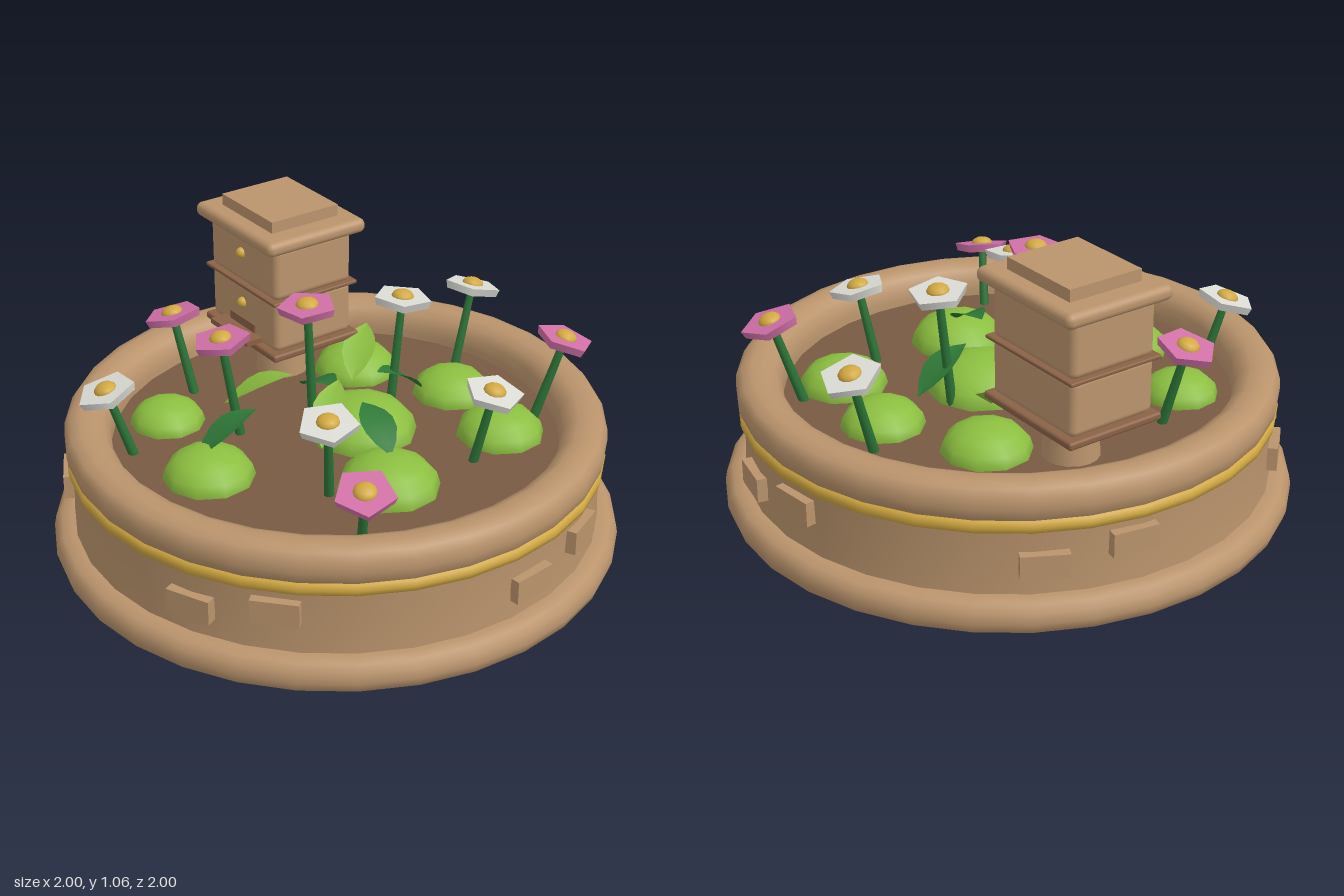
import * as THREE from 'three';
import { RoundedBoxGeometry } from 'three/addons/geometries/RoundedBoxGeometry.js';

const mat = (name, color, side = THREE.FrontSide) => {
  const m = new THREE.MeshStandardMaterial({ color, side });
  m.name = name;
  return m;
};

export function createModel() {
  const model = new THREE.Group();
  model.name = 'flowerPlanter';
  const tan = mat('tanClay', 0xba946c);
  const trim = mat('brownTrim', 0x8a6246);
  const soilBrown = mat('soilBrown', 0x785a42);
  const gold = mat('gold', 0xd2a941);
  const pink = mat('pinkPetal', 0xd070a6);
  const white = mat('whitePetal', 0xdcdcd6);
  const lime = mat('limeGreen', 0x8cbf40, THREE.DoubleSide);
  const leafGreen = mat('leafGreen', 0x2f7a38, THREE.DoubleSide);
  const stemGreen = mat('stemGreen', 0x2b7236);

  const add = (parent, name, geometry, material, x = 0, y = 0, z = 0) => {
    const mesh = new THREE.Mesh(geometry, material);
    mesh.name = name;
    mesh.position.set(x, y, z);
    parent.add(mesh);
    return mesh;
  };
  const lathe = (pts, sides) =>
    new THREE.LatheGeometry(pts.map(([r, y]) => new THREE.Vector2(r, y)), sides);

  // Bowl: rounded foot, straight wall, thick rounded rim
  const SOIL = 0.39;
  add(model, 'foot', lathe([[0, 0], [0.93, 0], [0.965, 0.004], [0.99, 0.022], [1, 0.055],
    [0.993, 0.09], [0.972, 0.112], [0.94, 0.12], [0.9, 0.12]], 32), tan);
  add(model, 'wall', lathe([[0.925, 0.11], [0.92, 0.22], [0.925, 0.345]], 32), tan);
  add(model, 'goldBand', lathe([[0.92, 0.338], [0.934, 0.345], [0.938, 0.363], [0.934, 0.382], [0.92, 0.39]], 32), gold);
  add(model, 'rim', lathe([[0.92, 0.375], [0.936, 0.4], [0.941, 0.43], [0.938, 0.465], [0.92, 0.492],
    [0.885, 0.505], [0.84, 0.502], [0.805, 0.485], [0.784, 0.45], [0.78, 0.41], [0.78, 0.37]], 32), tan);
  add(model, 'soil', new THREE.CircleGeometry(0.79, 32).rotateX(-Math.PI / 2), soilBrown, 0, SOIL, 0);

  // Raised bricks in pairs around the wall
  for (let i = 0; i < 20; i++) {
    if (i % 4 > 1) continue;
    const a = (i * Math.PI) / 10;
    const brick = add(model, 'wallBrick', new THREE.BoxGeometry(0.16, 0.085, 0.05), tan,
      Math.sin(a) * 0.925, i % 4 ? 0.275 : 0.23, Math.cos(a) * 0.925);
    brick.rotation.y = a;
  }

  // Bushes: x, z, radius
  [[-0.17, -0.45, 0.155], [0.22, -0.465, 0.145], [0.5, -0.28, 0.155], [0.07, -0.06, 0.195],
    [0.33, 0.225, 0.175], [-0.225, 0.465, 0.158], [-0.555, 0.225, 0.133]].forEach(([x, z, r]) => {
    add(model, 'bush', new THREE.SphereGeometry(r, 10, 8), lime, x, SOIL, z).scale.y = 0.65;
  });

  // Folded leaf running from a low end to a raised tip
  const leafGeometry = (from, to) => {
    const a = new THREE.Vector3(...from), b = new THREE.Vector3(...to);
    const side = b.clone().sub(a).cross(new THREE.Vector3(0, 1, 0)).normalize();
    const steps = 6, pos = [], index = [];
    for (let i = 0; i <= steps; i++) {
      const t = i / steps;
      const w = 0.06 * Math.sin(Math.PI * Math.pow(t, 0.85));
      const p = a.clone().lerp(b, t);
      p.y += 0.02 * Math.sin(Math.PI * t);
      for (const s of [-1, 0, 1]) {
        pos.push(p.x + side.x * w * s, p.y + Math.abs(s) * w * 0.25, p.z + side.z * w * s);
      }
      if (i === steps) continue;
      for (let k = i * 3; k < i * 3 + 2; k++) index.push(k, k + 1, k + 3, k + 1, k + 4, k + 3);
    }
    const g = new THREE.BufferGeometry();
    g.setAttribute('position', new THREE.Float32BufferAttribute(pos, 3));
    g.setIndex(index);
    g.computeVertexNormals();
    return g;
  };
  [[[-0.27, 0.45, 0.465], [-0.14, 0.585, 0.29], leafGreen],
    [[0.325, 0.49, 0.2], [0.14, 0.58, 0.065], leafGreen],
    [[0.16, 0.45, -0.34], [0.085, 0.585, -0.14], leafGreen],
    [[-0.2, 0.47, -0.12], [0, 0.57, 0], leafGreen],
    [[-0.37, 0.47, 0.14], [-0.16, 0.585, 0.02], lime],
    [[0.065, 0.45, 0.21], [0, 0.59, -0.02], lime],
    [[-0.08, 0.45, -0.26], [-0.13, 0.585, -0.46], lime],
  ].forEach(([from, to, m]) => add(model, 'leaf', leafGeometry(from, to), m));

  // Flowers lean outward more the farther they stand from the middle
  const flower = (x, y, z, turn, petal) => {
    const drop = y - 0.36;
    const base = new THREE.Vector3(x * (1 - 0.4 * drop), 0.36, z * (1 - 0.4 * drop));
    const dir = new THREE.Vector3(x, y, z).sub(base);
    const len = dir.length();
    const g = new THREE.Group();
    g.name = 'flower';
    g.position.copy(base);
    g.quaternion.setFromUnitVectors(new THREE.Vector3(0, 1, 0), dir.normalize());
    add(g, 'stem', new THREE.CylinderGeometry(0.014, 0.018, len, 8), stemGreen, 0, len / 2, 0);
    const start = Math.PI - THREE.MathUtils.degToRad(turn);
    add(g, 'petals', new THREE.CylinderGeometry(0.104, 0.096, 0.028, 5, 1, false, start), petal, 0, len, 0);
    add(g, 'flowerCentre', new THREE.SphereGeometry(0.04, 12, 8), gold, 0, len + 0.012, 0).scale.y = 0.65;
    model.add(g);
  };
  [[0.165, 0.69, -0.725, 10], [0.11, 0.815, -0.275, 5], [0.565, 0.66, -0.07, -20],
    [0.21, 0.685, 0.42, -5], [-0.59, 0.635, 0.52, -10]].forEach((f) => flower(...f, white));
  [[0.63, 0.685, -0.505, -28], [-0.67, 0.68, 0, -3], [-0.335, 0.75, 0.2, -15],
    [-0.07, 0.885, 0.07, 15], [0.45, 0.6, 0.61, 0]].forEach((f) => flower(...f, pink));

  // Stacked box hive on a post
  const hive = new THREE.Group();
  hive.name = 'hive';
  hive.position.set(-0.42, 0, -0.335);
  hive.rotation.y = -0.434;
  model.add(hive);
  const slab = (name, w, y0, y1, d, r, m) =>
    add(hive, name, new RoundedBoxGeometry(w, y1 - y0, d, 3, r), m, 0, (y0 + y1) / 2, 0);
  add(hive, 'post', new THREE.CylinderGeometry(0.085, 0.1, 0.2, 16), tan, 0, 0.46, 0);
  slab('floor', 0.46, 0.55, 0.578, 0.37, 0.01, trim);
  slab('lowerBox', 0.42, 0.575, 0.775, 0.33, 0.025, tan);
  slab('middleLedge', 0.45, 0.766, 0.78, 0.36, 0.005, trim);
  slab('upperBox', 0.42, 0.775, 0.975, 0.33, 0.025, tan);
  slab('roof', 0.49, 0.965, 1.018, 0.415, 0.024, tan);
  add(hive, 'roofCap', new THREE.BoxGeometry(0.32, 0.05, 0.28), tan, 0, 1.035, 0);
  add(hive, 'landingBoard', new THREE.BoxGeometry(0.24, 0.02, 0.1), trim, 0, 0.595, 0.18);
  add(hive, 'entrance', new THREE.BoxGeometry(0.16, 0.032, 0.008), trim, 0, 0.622, 0.166);
  for (const y of [0.7, 0.895]) {
    add(hive, 'knob', new THREE.SphereGeometry(0.02, 12, 8), gold, 0, y, 0.168);
  }
  return model;
}
